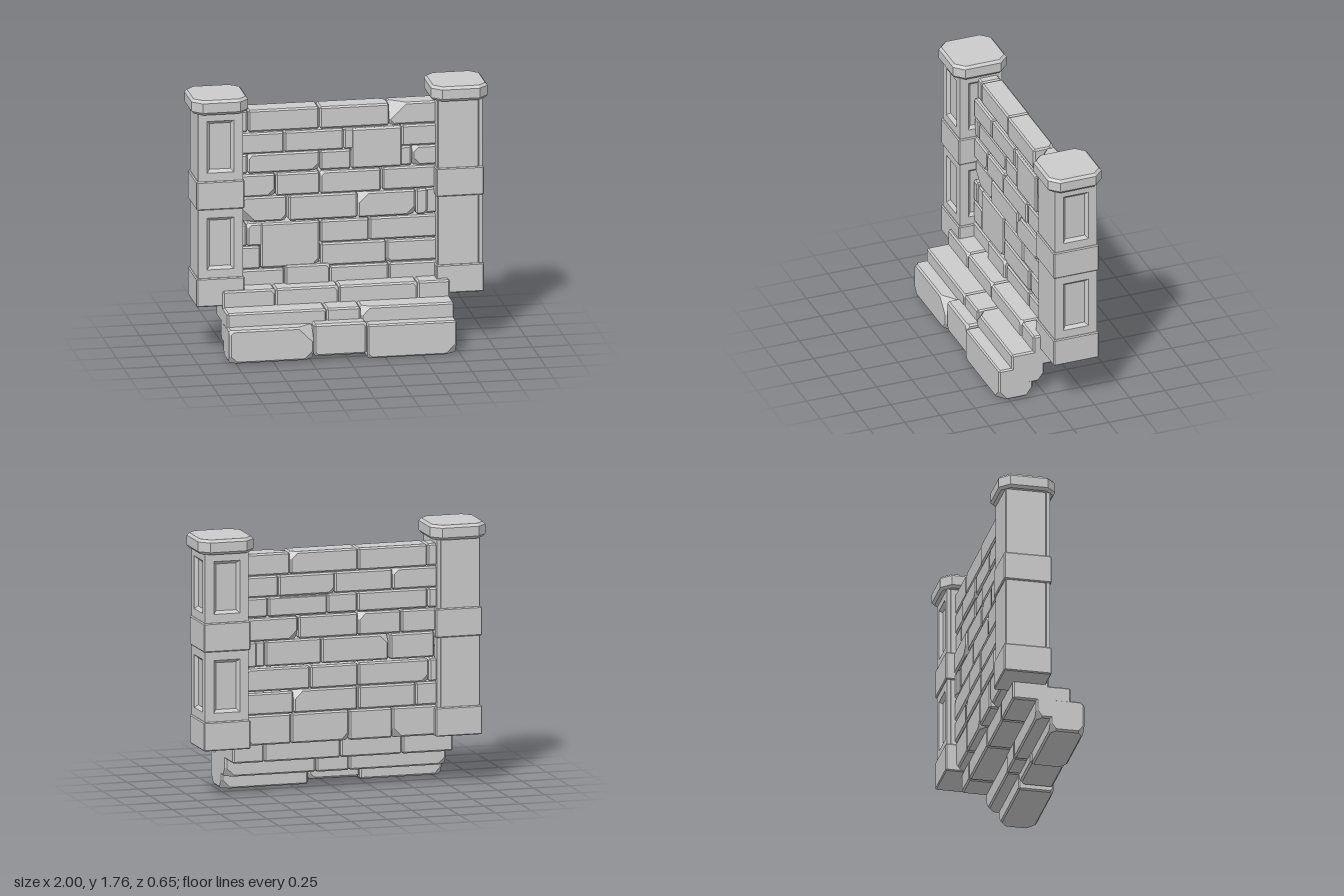
import * as THREE from 'three';
import { ConvexGeometry } from 'three/addons/geometries/ConvexGeometry.js';

const material = new THREE.MeshStandardMaterial({ color: 0xcccccc, flatShading: true });

let seed = 7;
const rand = () => (seed = (seed * 16807) % 2147483647) / 2147483647;

function add(parent, name, geometry, x = 0, y = 0, z = 0) {
  const mesh = new THREE.Mesh(geometry, material);
  mesh.name = name;
  mesh.position.set(x, y, z);
  parent.add(mesh);
  return mesh;
}

// Bevelled block; chips maps corners such as 'RBF' (right, bottom, front) to a cut size
function block(x0, x1, y0, y1, z0, z1, bevel, chips = {}) {
  const points = [];
  for (const sx of [-1, 1]) for (const sy of [-1, 1]) for (const sz of [-1, 1]) {
    const key = (sx > 0 ? 'R' : 'L') + (sy > 0 ? 'T' : 'B') + (sz > 0 ? 'F' : 'K');
    const put = (a, b, c) => points.push(new THREE.Vector3(
      (sx > 0 ? x1 : x0) - sx * a, (sy > 0 ? y1 : y0) - sy * b, (sz > 0 ? z1 : z0) - sz * c));
    const s = chips[key], b = bevel;
    if (s) {
      put(s, b, 0); put(s, 0, b);
      put(b, s, 0); put(0, s, b);
      put(b, 0, s * 0.8); put(0, b, s * 0.8);
    } else {
      put(b, b, 0); put(b, 0, b); put(0, b, b);
    }
  }
  return new ConvexGeometry(points);
}

// One course of stones between successive joints
function course(parent, name, y0, y1, z0, z1, joints, chips = {}, bevel = 0.011) {
  for (let i = 0; i < joints.length - 1; i++) {
    const front = z1 + (rand() - 0.5) * 0.012, back = z0 + (rand() - 0.5) * 0.012;
    add(parent, name, block(joints[i] + 0.001, joints[i + 1] - 0.001, y0, y1, back, front, bevel, chips[i]));
  }
}

const rectangle = (w, h, y, Type) => new Type([[-1, -1], [1, -1], [1, 1], [-1, 1]]
  .map(([a, b]) => new THREE.Vector2(a * w / 2, y + b * h / 2)));

// Sloping lining from a panel opening down to its sunken field
function panelSlope(w, h, inset, depth) {
  const positions = [], index = [];
  for (const [k, z] of [[0, depth], [inset, 0]])
    for (const [a, b] of [[-1, -1], [1, -1], [1, 1], [-1, 1]])
      positions.push(a * (w / 2 - k), b * (h / 2 - k), z);
  for (let i = 0; i < 4; i++) {
    const j = (i + 1) % 4;
    index.push(i, j, 4 + j, i, 4 + j, 4 + i);
  }
  const g = new THREE.BufferGeometry();
  g.setAttribute('position', new THREE.Float32BufferAttribute(positions, 3));
  g.setIndex(index);
  const flat = g.toNonIndexed();
  flat.computeVertexNormals();
  return flat;
}

function createPillar(name) {
  const pillar = new THREE.Group();
  pillar.name = name;
  const half = 0.15, depth = 0.022, bottom = 0.5, top = 1.67;
  const panelHeights = [0.765, 1.43];
  // Shaft core, set back behind the two panelled faces
  add(pillar, 'shaft', block(-half, half - depth, bottom, top, -half, half - depth, 0.006));
  // Panelled faces towards +z and +x
  for (const turn of [0, Math.PI / 2]) {
    const face = new THREE.Group();
    face.name = 'panelFace';
    face.rotation.y = turn;
    const shape = rectangle(half * 2, top - bottom, (top + bottom) / 2, THREE.Shape);
    for (const y of panelHeights) {
      shape.holes.push(rectangle(0.18, 0.355, y, THREE.Path));
      add(face, 'panelSlope', panelSlope(0.18, 0.355, 0.02, depth), 0, y, half - depth + 0.0005);
    }
    add(face, 'panelFrame', new THREE.ExtrudeGeometry(shape, { depth, bevelEnabled: false }), 0, 0, half - depth);
    pillar.add(face);
  }
  // Projecting bands
  add(pillar, 'baseBand', block(-0.161, 0.161, 0.335, 0.53, -0.161, 0.161, 0.007));
  add(pillar, 'middleBand', block(-0.161, 0.161, 1.0, 1.195, -0.161, 0.161, 0.007));
  // Cap with cut corners and bevelled rims
  const r = 0.175, c = 0.12;
  const outline = new THREE.Shape([[-c, -r], [c, -r], [r, -c], [r, c], [c, r], [-c, r], [-r, c], [-r, -c]]
    .map(p => new THREE.Vector2(...p)));
  const cap = new THREE.ExtrudeGeometry(outline,
    { depth: 0.065, bevelThickness: 0.018, bevelSize: 0.016, bevelSegments: 1 });
  cap.rotateX(-Math.PI / 2);
  add(pillar, 'cap', cap, 0, 1.677, 0);
  return pillar;
}

export function createModel() {
  const model = new THREE.Group();
  model.name = 'stoneWall';

  // Pillars, the second turned so its panels face outwards and back
  const left = createPillar('leftPillar');
  left.position.set(0.806, 0, -0.135);
  left.rotation.y = Math.PI / 2;
  const right = createPillar('rightPillar');
  right.position.set(-0.81, 0, -0.105);
  model.add(left, right);

  // Wall courses from top to bottom
  const wall = new THREE.Group();
  wall.name = 'wall';
  model.add(wall);
  const stone = (...a) => add(wall, 'wallStone', block(...a));
  course(wall, 'wallStone', 1.48, 1.63, -0.23, -0.08, [-0.68, -0.6, -0.12, 0.35, 0.68],
    { 2: { RTK: 0.05 }, 3: { LTF: 0.11, LBF: 0.03 } });
  course(wall, 'wallStone', 1.335, 1.478, -0.23, -0.065, [-0.68, -0.36, 0.04, 0.43, 0.68],
    { 0: { RTK: 0.04 }, 2: { RBF: 0.03, LBK: 0.04 } });
  course(wall, 'wallStone', 1.2, 1.333, -0.225, -0.068, [-0.68, -0.605, -0.12, 0.09, 0.5, 0.68],
    { 1: { RBF: 0.05, LTF: 0.03 }, 4: { LBF: 0.05, LTF: 0.04 } });
  stone(0.09, 0.43, 1.2, 1.475, -0.22, -0.057, 0.011);
  course(wall, 'wallStone', 1.042, 1.196, -0.232, -0.055, [-0.68, -0.42, -0.122],
    { 0: { RBF: 0.05, LTF: 0.04 }, 1: { RTK: 0.05 } });
  course(wall, 'wallStone', 1.042, 1.196, -0.228, -0.045, [-0.122, 0.289], { 0: { LTF: 0.03 } });
  course(wall, 'wallStone', 1.042, 1.196, -0.236, -0.06, [0.298, 0.68], { 0: { LBK: 0.06 } });
  course(wall, 'wallStone', 0.867, 1.04, -0.23, -0.055, [-0.65, -0.342], { 0: { LBF: 0.09, RBF: 0.04, LTF: 0.03 } });
  course(wall, 'wallStone', 0.867, 1.04, -0.226, -0.045, [-0.334, 0.13, 0.52, 0.6],
    { 0: { LTK: 0.06 }, 1: { LTF: 0.07, RBF: 0.06 }, 2: { RBF: 0.03 } });
  course(wall, 'wallStone', 0.867, 1.04, -0.23, -0.06, [0.58, 0.68]);
  course(wall, 'wallStone', 0.703, 0.857, -0.23, -0.058, [-0.68, -0.612, -0.12, 0.21, 0.68],
    { 1: { LTF: 0.03, LBK: 0.05 }, 3: { RTK: 0.05 } });
  course(wall, 'wallStone', 0.545, 0.701, -0.23, -0.06, [-0.68, -0.52, -0.124], { 1: { RBF: 0.05 } });
  stone(-0.52, -0.124, 0.55, 0.857, -0.222, -0.05, 0.011, { RBF: 0.05 });
  course(wall, 'wallStone', 0.545, 0.701, -0.23, -0.05, [-0.118, 0.325], { 0: { RTK: 0.06 } });
  course(wall, 'wallStone', 0.545, 0.693, -0.23, -0.06, [0.325, 0.68], { 0: { LBF: 0.03 } });
  course(wall, 'wallStone', 0.34, 0.543, -0.225, -0.05, [-0.68, -0.36, -0.06, 0.34, 0.68],
    { 0: { RBK: 0.06 }, 2: { LBK: 0.05 }, 3: { RBK: 0.07 } });
  stone(-0.36, -0.06, 0.36, 0.565, -0.2, -0.03, 0.011, { RTF: 0.025 });

  // Stepped footing
  const footing = new THREE.Group();
  footing.name = 'footing';
  model.add(footing);
  course(footing, 'upperStep', 0.215, 0.44, -0.168, 0.074, [-0.8, -0.445, -0.02, 0.51, 0.73],
    { 0: { RBF: 0.05, RTF: 0.03, LTK: 0.04 }, 1: { RTF: 0.03 }, 2: { RTF: 0.03 } });
  course(footing, 'middleStep', 0.095, 0.33, -0.008, 0.226, [-0.8, -0.13, 0.1, 0.73],
    { 0: { LBK: 0.05, RTF: 0.02 }, 2: { LTF: 0.06, RBK: 0.06 } });
  const step = (...a) => add(footing, 'lowerStep', block(...a));
  step(-0.8, -0.232, 0.01, 0.237, 0.085, 0.317, 0.012, { LBF: 0.05, RBF: 0.06, RTF: 0.1, LTF: 0.03, LBK: 0.05 });
  step(-0.23, 0.124, 0.03, 0.25, 0.08, 0.31, 0.013, { LBF: 0.03, RTF: 0.025, RBK: 0.04 });
  step(0.128, 0.728, 0, 0.23, 0.08, 0.32, 0.01, { LBF: 0.03, RBF: 0.07, RBK: 0.06 });

  return model;
}
